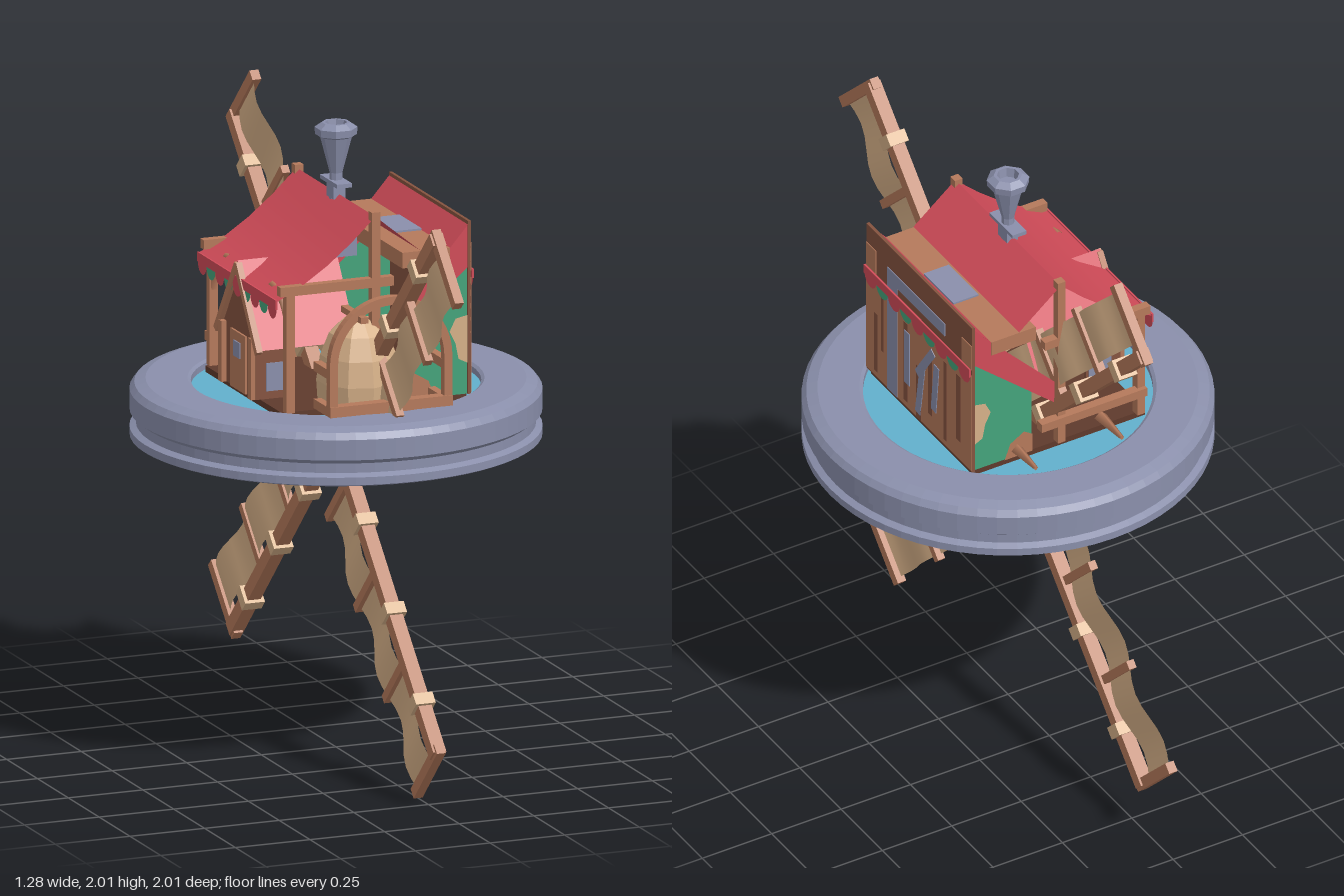
import * as THREE from 'three';

const material = (name, color, side = THREE.DoubleSide) => {
  const m = new THREE.MeshStandardMaterial({ color, side });
  m.name = name;
  return m;
};

export function createModel() {
  const slate = material('slate', 0x8a8fab);
  const red = material('roof red', 0xd04b58);
  const wood = material('wood', 0xb5795b);
  const darkWood = material('dark wood', 0x85533f);
  const tan = material('canvas tan', 0xd6b088);
  const green = material('green plaster', 0x44a37b);
  const blue = material('water blue', 0x62b0cc);
  const floorBrown = material('floor brown', 0x5f3a2c);

  const model = new THREE.Group();
  const part = (name, geo, mat, x = 0, y = 0, z = 0, parent = model) => {
    const m = new THREE.Mesh(geo, mat);
    m.name = name;
    m.position.set(x, y, z);
    parent.add(m);
    return m;
  };
  // Box given by its lower and upper corners
  const box = (name, mat, a, b, parent = model) => part(name,
    new THREE.BoxGeometry(b[0] - a[0], b[1] - a[1], b[2] - a[2]), mat,
    (a[0] + b[0]) / 2, (a[1] + b[1]) / 2, (a[2] + b[2]) / 2, parent);
  const polygon = pts => new THREE.ShapeGeometry(new THREE.Shape(pts.map(p => new THREE.Vector2(...p))));
  const lathe = (pts, n) => {
    const g = new THREE.LatheGeometry(pts.map(p => new THREE.Vector2(...p)), n).toNonIndexed();
    g.computeVertexNormals();
    return g;
  };
  // Sheet swept along z from a profile of [x, y] points
  const sheet = (pts, z0, z1) => {
    const g = new THREE.PlaneGeometry(1, 1, pts.length - 1, 1), p = g.attributes.position;
    for (let i = 0; i < p.count; i++) {
      const [x, y] = pts[i % pts.length];
      p.setXYZ(i, x, y, i < pts.length ? z0 : z1);
    }
    g.computeVertexNormals();
    return g;
  };

  // Round base with a groove, pool and floor
  part('base', lathe([[0, 1], [0.63, 1], [0.64, 1.005], [0.64, 1.03], [0.62, 1.04], [0.62, 1.07],
    [0.64, 1.085], [0.64, 1.15], [0.625, 1.17], [0.59, 1.182], [0.46, 1.182], [0.45, 1.175], [0.45, 1.13]], 64), slate);
  const pool = part('pool', new THREE.CircleGeometry(0.452, 48), blue, 0, 1.155, 0);
  pool.rotation.x = -Math.PI / 2;
  box('houseFloor', floorBrown, [-0.31, 1.15, -0.31], [0.31, 1.175, 0.31]);
  box('underFloor', floorBrown, [-0.32, 0.995, -0.32], [0.32, 1.0, 0.32]);
  box('axle', wood, [-0.15, 0.96, -0.02], [0.15, 1.0, 0.02]);
  box('peg', wood, [-0.2, 0.965, 0.25], [-0.17, 1.0, 0.28]);
  part('lowerTrim', sheet([[-0.37, 1.0], [-0.345, 0.985], [-0.32, 1.0]], 0.23, -0.22), red);

  // Four sails around the axle
  for (let k = 0; k < 4; k++) {
    const sail = new THREE.Group();
    sail.name = 'sail' + (k + 1);
    sail.position.y = 1;
    sail.rotation.x = Math.PI / 4 + k * Math.PI / 2;
    model.add(sail);
    box('sailArm', wood, [-0.022, 0, -0.022], [0.022, 1.17, 0.022], sail);
    for (const u of [0.16, 0.49, 0.82, 1.16])
      box('crossbar', wood, [-0.013, u - 0.014, -0.005], [0.013, u + 0.014, 0.238], sail);
    box('tipBar', wood, [-0.015, 1.145, -0.03], [0.015, 1.18, 0.238], sail);
    for (const u of [0.325, 0.65, 0.98])
      box('binding', tan, [-0.033, u - 0.02, -0.033], [0.033, u + 0.02, 0.033], sail);
    const cloth = new THREE.PlaneGeometry(0.17, 1.0, 1, 24), p = cloth.attributes.position;
    for (let i = 0; i < p.count; i++) {
      const z = p.getX(i), y = p.getY(i);
      p.setXYZ(i, 0.016 * Math.sin((y + 0.5) * Math.PI * 6), y, z);
    }
    cloth.computeVertexNormals();
    part('cloth', cloth, tan, 0, 0.66, 0.135, sail);
  }

  // Main roof: sagging left slope, short right slope, flat board and raised edge
  part('leftRoof', sheet([[0, 1.775], [-0.08, 1.7], [-0.16, 1.635], [-0.25, 1.575], [-0.33, 1.535]], 0.32, -0.32), red);
  part('rightRoof', sheet([[0, 1.775], [0.15, 1.652]], 0.32, -0.32), red);
  box('roofBoard', wood, [0.09, 1.6, -0.32], [0.25, 1.65, 0.32]);
  box('roofPatch', slate, [0.16, 1.65, -0.09], [0.25, 1.656, 0.09]);
  part('raisedRoofEdge', sheet([[0.25, 1.65], [0.32, 1.73]], 0.32, -0.32), red);

  // Scalloped fringe on both long sides
  const fringe = (x, y) => {
    box('fringeBand', red, [x - 0.003, y, -0.32], [x + 0.003, y + 0.03, 0.32]);
    for (let i = 0; i < 9; i++) {
      const s = part('scallop', new THREE.CircleGeometry(0.0355, 12, Math.PI, Math.PI),
        i % 2 ? green : red, x, y, -0.284 + i * 0.071);
      s.rotation.y = Math.PI / 2;
    }
  };
  fringe(-0.331, 1.51);
  fringe(0.327, 1.545);

  // Right wall with painted details
  box('rightWall', darkWood, [0.31, 1.175, -0.32], [0.32, 1.73, 0.32]);
  const paint = (name, mat, x, z0, z1, y0, y1) => box(name, mat, [0.319, y0, z0], [x, y1, z1]);
  paint('lowerPlanks', wood, 0.321, -0.32, 0.32, 1.18, 1.55);
  for (const [z, w, y0, y1] of [[0.26, 0.02, 1.2, 1.42], [0.22, 0.015, 1.3, 1.52], [0.08, 0.025, 1.2, 1.5],
    [0, 0.03, 1.18, 1.38], [-0.07, 0.025, 1.24, 1.46], [-0.16, 0.02, 1.2, 1.5], [-0.24, 0.03, 1.25, 1.5]])
    paint('plankStreak', darkWood, 0.322, z - w / 2, z + w / 2, y0, y1);
  paint('paintedPost', slate, 0.323, 0.13, 0.19, 1.18, 1.62);
  paint('paintedBeam', slate, 0.323, -0.16, 0.19, 1.6, 1.645);
  for (const [z, y, l, a] of [[-0.04, 1.42, 0.17, 0.6], [0.07, 1.37, 0.2, 0], [-0.01, 1.3, 0.2, 0.15], [-0.1, 1.36, 0.18, 0.1]])
    part('paintedBrace', new THREE.BoxGeometry(0.003, l, 0.03), slate, 0.322, y, z).rotation.x = -a;
  for (const z of [-0.32, 0.26]) paint('cornerPatch', wood, 0.322, z, z + 0.06, 1.57, 1.66);

  // Gable walls, half height, with red raking trim
  for (const s of [1, -1]) {
    const z = s * 0.312;
    part('gableWall', polygon([[0.1, 1.175], [0.32, 1.175], [0.32, 1.62], [0.1, 1.42]]), green, 0, 0, z);
    part('gableTrim', polygon([[0.02, 1.33], [0.32, 1.59], [0.32, 1.73], [0.26, 1.66], [0.02, 1.41]]), red, 0, 0, z + s * 0.004);
    part('plasterPatch', polygon([[0.32, 1.27], [0.28, 1.29], [0.27, 1.34], [0.25, 1.38], [0.27, 1.42], [0.32, 1.43]]), tan, 0, 0, z + s * 0.004);
    part('plasterPatch', polygon([[0.1, 1.175], [0.2, 1.175], [0.18, 1.23], [0.13, 1.26], [0.1, 1.24]]), wood, 0, 0, z + s * 0.004);
    box('ridgePost', wood, [-0.014, 1.175, z - 0.014], [0.014, 1.79, z + 0.014]);
    box('tieBeam', wood, [-0.32, 1.55, z - 0.014], [0.06, 1.58, z + 0.014]);
    box('cornerPost', wood, [-0.3, 1.175, z - 0.014], [-0.272, 1.55, z + 0.014]);
    const brace = part('curvedBrace', new THREE.TorusGeometry(0.13, 0.013, 5, 10, Math.PI / 2), wood, -0.285, 1.42, z - s * 0.14);
    brace.rotation.y = -s * Math.PI / 2;
  }

  // Front balcony with arch and oven
  const arch = new THREE.Shape();
  arch.moveTo(0.205, 1.18);
  arch.lineTo(0.205, 1.345);
  arch.absarc(0, 1.345, 0.205, 0, Math.PI, false);
  arch.lineTo(-0.205, 1.18);
  arch.lineTo(-0.178, 1.18);
  arch.lineTo(-0.178, 1.345);
  arch.absarc(0, 1.345, 0.178, Math.PI, 0, true);
  arch.lineTo(0.178, 1.18);
  part('arch', new THREE.ExtrudeGeometry(arch, { depth: 0.028, bevelEnabled: false, curveSegments: 14 }), wood, 0, 0, 0.42);
  box('balconySill', wood, [-0.205, 1.18, 0.415], [0.205, 1.215, 0.452]);
  for (const s of [1, -1]) {
    for (const y of [1.18, 1.3])
      box('sideRail', wood, [s * 0.19 - 0.013, y, 0.31], [s * 0.19 + 0.013, y + 0.03, 0.43]);
    box('topRail', wood, [s * 0.1 - 0.012, 1.48, 0.31], [s * 0.1 + 0.012, 1.5, 0.475]);
    // Pointed pegs at the back
    part('backPeg', new THREE.CylinderGeometry(0.008, 0.022, 0.13, 4), wood, s * 0.155, 1.2, -0.365).rotation.x = -Math.PI / 2;
  }
  part('oven', lathe([[0.125, 1.175], [0.13, 1.25], [0.118, 1.33], [0.09, 1.4], [0.05, 1.44], [0, 1.455]], 10), tan, -0.04, 0, 0.275);
  box('backRail', wood, [-0.3, 1.25, -0.34], [0.08, 1.28, -0.31]);

  // Door porch on the left side, ridge along x
  for (const s of [1, -1]) {
    box('porchWall', darkWood, [-0.325, 1.175, s * 0.13 - 0.006], [-0.2, 1.35, s * 0.13 + 0.006]);
    box('porchWindow', slate, [-0.29, 1.2, s * 0.137 - 0.002], [-0.21, 1.29, s * 0.137 + 0.002]);
    const slope = part('porchRoof', sheet([[0, 1.59], [0.17, 1.34]], 0.165, -0.165), red, -0.165, 0, 0);
    slope.rotation.y = s * Math.PI / 2;
    const rake = part('porchRake', new THREE.BoxGeometry(0.02, 0.3, 0.022), wood, -0.328, 1.455, s * 0.083);
    rake.rotation.x = -s * 0.6;
    box('doorPost', wood, [-0.34, 1.175, s * 0.12 - 0.013], [-0.315, 1.37, s * 0.12 + 0.013]);
  }
  const front = part('porchFront', polygon([[-0.13, 1.175], [0.13, 1.175], [0.13, 1.38], [0, 1.57], [-0.13, 1.38]]), darkWood, -0.322, 0, 0);
  front.rotation.y = -Math.PI / 2;
  box('door', wood, [-0.33, 1.175, -0.06], [-0.323, 1.36, 0.06]);
  box('doorWindow', slate, [-0.334, 1.28, -0.025], [-0.329, 1.33, 0.025]);

  // Chimney pot on the ridge
  const pot = part('chimney', lathe([[0, 1.75], [0.022, 1.75], [0.02, 1.84], [0.05, 1.955], [0.065, 1.962],
    [0.067, 1.985], [0.045, 2.0], [0.035, 2.0], [0.03, 1.97], [0, 1.97]], 8), slate);
  pot.rotation.y = Math.PI / 8;
  box('chimneySaddle', slate, [-0.025, 1.805, -0.07], [0.025, 1.818, 0.07]);
  box('chimneyFoot', slate, [-0.02, 1.76, -0.028], [0.02, 1.805, 0.028]);
  box('flue', slate, [-0.05, 1.58, -0.05], [0.05, 1.65, 0.05]);

  return model;
}
